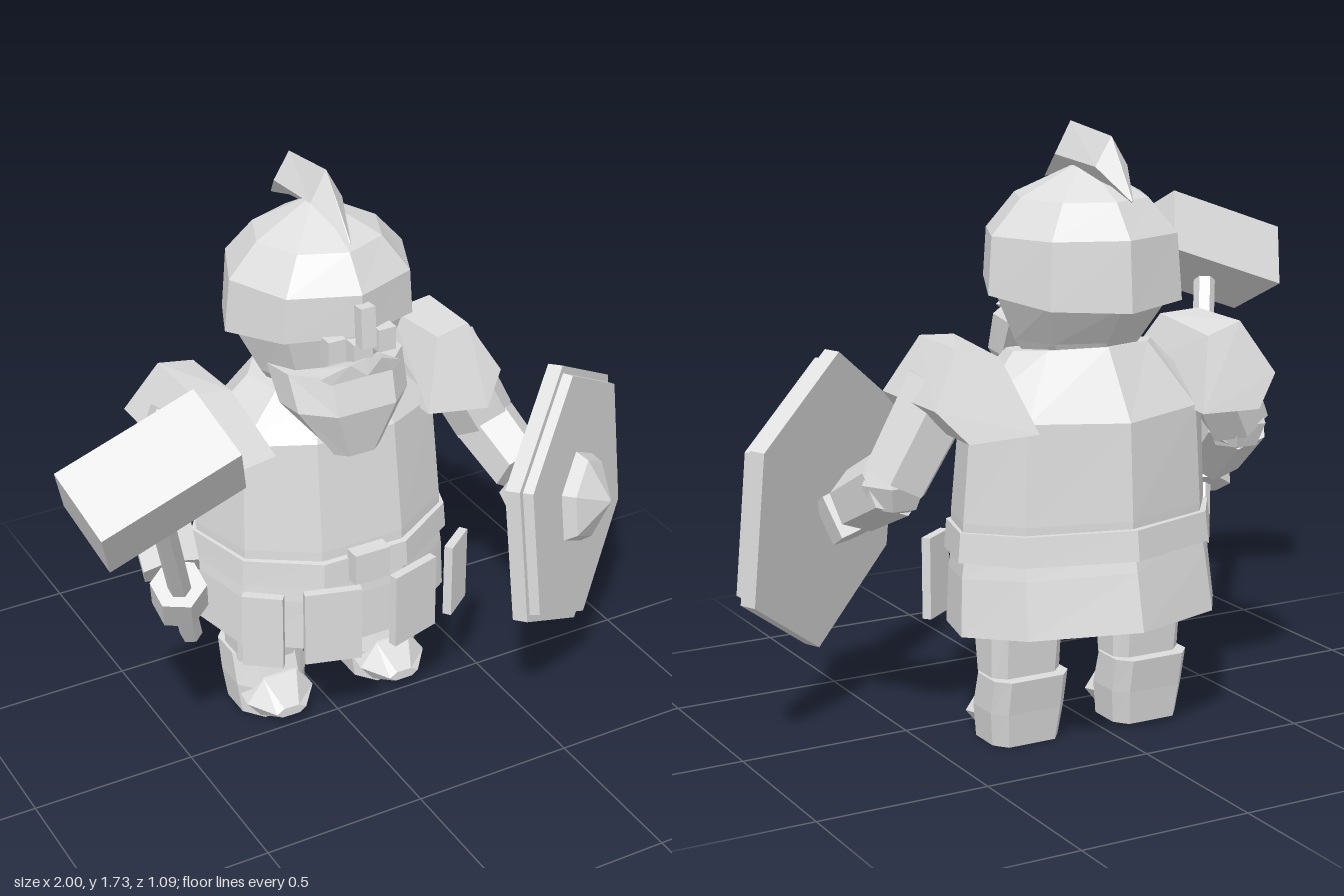
import * as THREE from 'three';
import { ConvexGeometry } from 'three/addons/geometries/ConvexGeometry.js';

const V = (x, y, z) => new THREE.Vector3(x, y, z);

// Closed skin through rings of points; outward winding is chosen by signed volume
function loft(rings) {
  const tris = [], n = rings[0].length;
  for (let k = 0; k < rings.length - 1; k++) for (let i = 0; i < n; i++) {
    const j = (i + 1) % n, A = rings[k], B = rings[k + 1];
    tris.push([A[i], A[j], B[j]], [A[i], B[j], B[i]]);
  }
  const last = rings[rings.length - 1];
  for (let i = 1; i < n - 1; i++) {
    tris.push([rings[0][0], rings[0][i + 1], rings[0][i]], [last[0], last[i], last[i + 1]]);
  }
  let vol = 0;
  for (const [a, b, c] of tris) vol += a.dot(b.clone().cross(c));
  const pts = tris.flatMap(t => (vol < 0 ? [t[0], t[2], t[1]] : t));
  const g = new THREE.BufferGeometry().setFromPoints(pts);
  g.computeVertexNormals();
  return g;
}

// Outline ring tilted from front height yf to back height yb
function ring(outline, yf, yb, rx, zf, zb) {
  const zc = (zf + zb) / 2, rz = (zf - zb) / 2;
  return outline.map(([x, z]) => V(x * rx, yf + (yb - yf) * (1 - z) / 2, zc + z * rz));
}

// Tapered rod between two points
function rod(a, b, ra, rb, sides) {
  const d = b.clone().sub(a);
  const g = new THREE.CylinderGeometry(rb, ra, d.length(), sides);
  g.applyQuaternion(new THREE.Quaternion().setFromUnitVectors(V(0, 1, 0), d.normalize()));
  const m = a.clone().add(b).multiplyScalar(0.5);
  return g.translate(m.x, m.y, m.z);
}

export function createModel() {
  const grey = new THREE.MeshStandardMaterial({ color: 0xdddddd });
  grey.name = 'light grey';
  grey.flatShading = true;
  grey.side = THREE.DoubleSide;

  const model = new THREE.Group();
  const figure = new THREE.Group();
  figure.name = 'figure';
  figure.position.x = 0.04;
  model.add(figure);
  const add = (name, geo, parent = figure) => {
    const m = new THREE.Mesh(geo, grey);
    m.name = name;
    parent.add(m);
  };

  // Body outline: a ridge at the back and a flat face in front
  const half = [[0.34, 1], [0.84, 0.6], [1, -0.1], [0.72, -0.64]];
  const body = [...half, [0, -1], ...half.map(([x, z]) => [-x, z]).reverse()];
  add('torso', loft([
    ring(body, 0.56, 0.61, 0.39, 0.08, -0.485),
    ring(body, 0.64, 0.67, 0.39, 0.075, -0.485),
    ring(body, 0.98, 0.94, 0.37, 0.035, -0.47),
    ring(body, 1.1, 1.13, 0.22, -0.04, -0.35),
  ]));
  add('belt', loft([
    ring(body, 0.53, 0.565, 0.41, 0.1, -0.52),
    ring(body, 0.61, 0.65, 0.402, 0.095, -0.51),
  ]));
  add('skirt', loft([
    ring(body, 0.31, 0.37, 0.412, 0.09, -0.545),
    ring(body, 0.47, 0.53, 0.4, 0.085, -0.51),
    ring(body, 0.57, 0.61, 0.385, 0.075, -0.49),
  ]));
  add('buckle', new THREE.BoxGeometry(0.115, 0.1, 0.05).translate(0, 0.59, 0.115));

  // Head and eight-sided helmet
  const oct = Array.from({ length: 8 }, (_, i) => [Math.sin(i * Math.PI / 4), Math.cos(i * Math.PI / 4)]);
  add('head', loft([
    ring(oct, 1.08, 1.1, 0.16, -0.04, -0.32),
    ring(oct, 1.14, 1.14, 0.195, 0.0, -0.345),
    ring(oct, 1.32, 1.25, 0.267, 0.045, -0.43),
  ]));
  add('helmet', loft([
    ring(oct, 1.31, 1.24, 0.292, 0.07, -0.475),
    ring(oct, 1.435, 1.435, 0.278, 0.068, -0.462),
    ring(oct, 1.535, 1.53, 0.19, -0.005, -0.39),
    ring(oct, 1.615, 1.615, 0.03, -0.18, -0.24),
  ]));
  const diamond = (z, top, mid, low, w) => [V(0, top, z), V(w, mid, z), V(0, low, z), V(-w, mid, z)];
  add('crest', loft([
    diamond(0, 1.567, 1.565, 1.563, 0.003),
    diamond(-0.14, 1.73, 1.64, 1.6, 0.05),
    diamond(-0.36, 1.705, 1.625, 1.57, 0.05),
    diamond(-0.47, 1.544, 1.54, 1.536, 0.003),
  ]));
  add('noseGuard', new THREE.BoxGeometry(0.045, 0.12, 0.04).rotateX(-0.08).translate(0, 1.35, 0.085));
  add('nose', new THREE.BoxGeometry(0.06, 0.08, 0.06).translate(0, 1.25, 0.045));

  // Beard widening to the cheeks and tapering to the chest
  const bib = [[1, -1], [0.95, 0.1], [0.5, 1], [-0.5, 1], [-0.95, 0.1], [-1, -1]];
  add('beard', loft([
    ring(bib, 0.935, 0.935, 0.08, 0.07, 0.0),
    ring(bib, 1.09, 1.08, 0.186, 0.1, -0.08),
    ring(bib, 1.2, 1.18, 0.194, 0.065, -0.14),
  ]));

  for (const s of [1, -1]) {
    const side = s > 0 ? 'left' : 'right';
    const P = (x, y, z) => V(s * x, y, z);

    // Face details
    add(side + 'Moustache', new ConvexGeometry([
      P(0, 1.25, 0.09), P(0, 1.2, 0.1), P(0.05, 1.24, 0.09), P(0.13, 1.2, 0.06),
      P(0.1, 1.18, 0.07), P(0, 1.22, 0.02), P(0.1, 1.2, 0.0),
    ]));
    add(side + 'Eye', new THREE.BoxGeometry(0.055, 0.07, 0.05).translate(s * 0.08, 1.28, 0.045));

    // Shoulder plate
    add(side + 'Pauldron', new ConvexGeometry([
      P(0.45, 1.165, -0.1), P(0.45, 1.16, -0.32), P(0.335, 1.155, -0.08), P(0.33, 1.13, -0.34),
      P(0.54, 1.01, -0.05), P(0.54, 1.01, -0.37), P(0.46, 0.93, 0.01), P(0.46, 0.92, -0.41),
      P(0.25, 0.97, 0.02), P(0.26, 0.93, -0.43),
    ]));

    // Bent arm; the shield arm hangs lower
    const elbow = s > 0 ? P(0.56, 0.78, -0.16) : P(0.555, 0.83, -0.15);
    const wrist = P(0.585, 0.69, 0.02);
    add(side + 'UpperArm', rod(P(0.43, 1.04, -0.2), elbow, 0.11, 0.1, 6));
    add(side + 'Elbow', new THREE.SphereGeometry(0.098, 6, 4).translate(elbow.x, elbow.y, elbow.z));
    add(side + 'Forearm', rod(elbow, wrist, 0.1, 0.092, 6));
    add(side + 'Hand', rod(P(0.575, 0.59, 0.045), P(0.605, 0.7, 0.105), 0.08, 0.08, 6));

    // Hanging hip plates
    const plate = (name, x, z, w, angle) => add(side + name,
      new THREE.BoxGeometry(w, 0.24, 0.027).rotateY(s * angle).translate(s * x, 0.43, z));
    plate('FrontPlate', 0.135, 0.142, 0.17, 0.28);
    plate('HipPlate', 0.325, 0.07, 0.12, 0.65);

    // Leg and boot, with a faceted toe
    const rect = (y, w, zf, zb) => [[0.55, 1], [1, 0.4], [1, -0.6], [0.7, -1], [-0.7, -1], [-1, -0.6], [-1, 0.4], [-0.55, 1]]
      .map(([x, z]) => V(s * 0.197 + x * w, y, (zf + zb) / 2 + z * (zf - zb) / 2));
    add(side + 'Leg', loft([rect(0.14, 0.106, -0.11, -0.26), rect(0.42, 0.115, -0.06, -0.29)]));
    add(side + 'Boot', loft([rect(0.0, 0.105, -0.07, -0.27), rect(0.1, 0.117, -0.075, -0.285), rect(0.2, 0.117, -0.11, -0.305)]));
    const toe = (z, lo, side, hi, w) => [V(-w, side, z), V(-w * 0.6, lo, z), V(w * 0.6, lo, z),
      V(w, side, z), V(w * 0.5, hi, z), V(-w * 0.5, hi, z)].map(p => p.add(V(s * 0.197, 0, 0)));
    add(side + 'Toe', loft([
      toe(-0.15, 0.005, 0.07, 0.14, 0.108),
      toe(-0.08, 0.005, 0.06, 0.135, 0.112),
      toe(-0.005, 0.03, 0.045, 0.06, 0.05),
    ]));
  }

  // Hammer: the handle axis leans outward and forward
  const hammer = new THREE.Group();
  hammer.name = 'hammer';
  model.add(hammer);
  const up = V(-0.29, 0.82, 0.49).normalize();
  const along = V(0.94, 0.333, 0).normalize();
  const head = V(-0.757, 1.245, 0.395);
  add('hammerHandle', rod(V(-0.475, 0.43, -0.02), head, 0.033, 0.033, 6), hammer);
  add('hammerHead', new THREE.BoxGeometry(0.415, 0.2, 0.225)
    .applyMatrix4(new THREE.Matrix4().makeBasis(along, up, along.clone().cross(up)).setPosition(head)), hammer);

  // Hexagonal shield built along its own outward axis
  const shield = new THREE.Group();
  shield.name = 'shield';
  model.add(shield);
  const out = V(0.59, 0.09, 0.8).normalize();
  const tall = V(-0.05, 0.87, -0.05).projectOnPlane(out).normalize();
  new THREE.Matrix4().makeBasis(out.clone().cross(tall), out, tall)
    .setPosition(V(0.678, 0.665, 0.175)).decompose(shield.position, shield.quaternion, shield.scale);
  const disc = (name, rTop, rBottom, h, y) =>
    add(name, new THREE.CylinderGeometry(rTop, rBottom, h, 6).translate(0, y, 0), shield);
  disc('shieldRim', 0.435, 0.435, 0.045, -0.01);
  disc('shieldFace', 0.405, 0.41, 0.03, 0.0275);
  disc('shieldBossBase', 0.13, 0.155, 0.04, 0.06);
  disc('shieldBoss', 0.004, 0.13, 0.065, 0.1125);

  return model;
}
